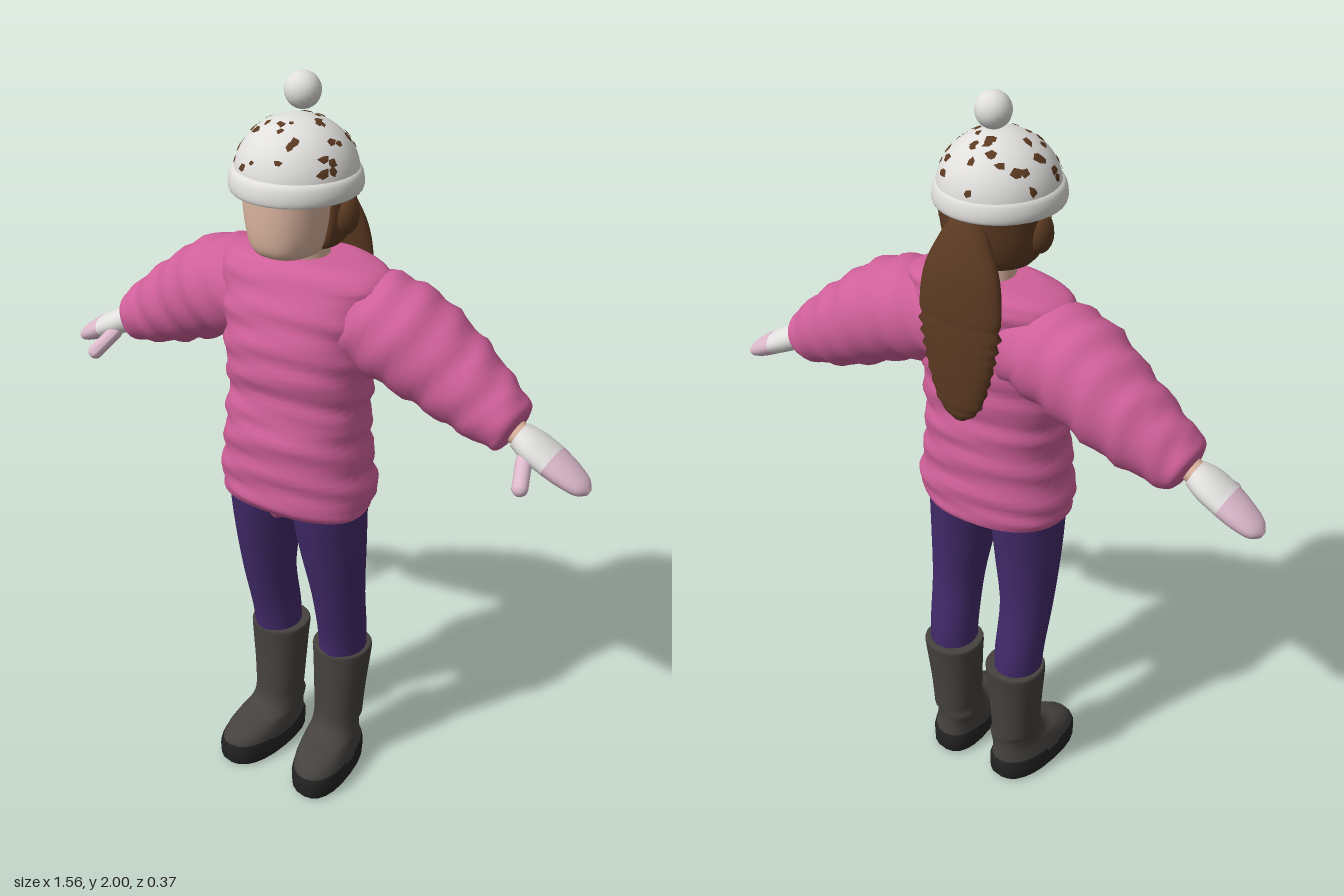
import * as THREE from 'three';

const mat = (name, color, side = THREE.FrontSide) => {
  const m = new THREE.MeshStandardMaterial({ color, side });
  m.name = name;
  return m;
};
const X = [1, 0, 0], Z = [0, 0, 1], BACK = [0, 0, -1], ARM_DOWN = [-0.4, -0.9, 0];

// Smooth interpolation through rows of numbers
function resample(rows, steps) {
  if (steps <= rows.length) return rows;
  const out = [];
  for (let i = 0; i < steps; i++) {
    const f = (i / (steps - 1)) * (rows.length - 1);
    const k = Math.min(Math.floor(f), rows.length - 2), t = f - k;
    const at = (n) => rows[Math.max(0, Math.min(rows.length - 1, n))];
    out.push(rows[k].map((_, c) => {
      const p = at(k - 1)[c], a = at(k)[c], b = at(k + 1)[c], q = at(k + 2)[c];
      return a + 0.5 * t * (b - p + t * (2 * p - 5 * a + 4 * b - q + t * (3 * (a - b) + q - p)));
    }));
  }
  return out;
}

// Closed loft through oval rings [x, y, z, radiusU, radiusV], ordered along U x V
function loft(rows, { steps = 0, segs = 24, u = X, v = BACK, power = 1, ripple = () => 1 } = {}) {
  const rings = resample(rows, steps), pos = [], idx = [];
  const addRing = (r) => {
    for (let j = 0; j < segs; j++) {
      const a = (j / segs) * Math.PI * 2, s = ripple(r, a);
      const c = Math.sign(Math.cos(a)) * Math.abs(Math.cos(a)) ** power * r[3] * s;
      const d = Math.sign(Math.sin(a)) * Math.abs(Math.sin(a)) ** power * r[4] * s;
      for (let k = 0; k < 3; k++) pos.push(r[k] + u[k] * c + v[k] * d);
    }
  };
  rings.forEach(addRing);
  for (let i = 0; i < rings.length - 1; i++) {
    for (let j = 0; j < segs; j++) {
      const n = (j + 1) % segs, a = i * segs + j, b = i * segs + n;
      idx.push(a, b, b + segs, a, b + segs, a + segs);
    }
  }
  [rings[0], rings[rings.length - 1]].forEach((r, end) => {
    const base = pos.length / 3;
    addRing(r);
    pos.push(r[0], r[1], r[2]);
    for (let j = 0; j < segs; j++) {
      const a = base + j, b = base + ((j + 1) % segs);
      idx.push(base + segs, end ? a : b, end ? b : a);
    }
  });
  const g = new THREE.BufferGeometry();
  g.setAttribute('position', new THREE.Float32BufferAttribute(pos, 3));
  g.setIndex(idx);
  g.computeVertexNormals();
  return g;
}

function mirrored(geo) {
  const g = geo.clone().scale(-1, 1, 1), ix = g.index.array;
  for (let i = 0; i < ix.length; i += 3) [ix[i], ix[i + 1]] = [ix[i + 1], ix[i]];
  g.computeVertexNormals();
  return g;
}

export function createModel() {
  const pink = mat('sweater pink', 0xd0609a), purple = mat('leggings purple', 0x422a6a);
  const bootGrey = mat('boot grey', 0x45423f), black = mat('sole black', 0x232323);
  const skin = mat('skin', 0xdcb5a0), brown = mat('hair brown', 0x5c3a22, THREE.DoubleSide);
  const white = mat('knit white', 0xe0dfdd), palePink = mat('mitten pink', 0xdcb9cb);

  const model = new THREE.Group();
  model.name = 'winterGirl';
  const add = (name, geo, material) => {
    const m = new THREE.Mesh(geo, material);
    m.name = name;
    model.add(m);
    return m;
  };
  const pair = (name, geo, material) => {
    add(name + 'Left', geo, material);
    add(name + 'Right', mirrored(geo), material);
  };

  // Sweater body with soft horizontal folds
  add('sweaterBody', loft([
    [0, 0.895, 0.005, 0.205, 0.145], [0, 0.93, 0.005, 0.215, 0.155], [0, 1.02, 0.007, 0.202, 0.155],
    [0, 1.12, 0.007, 0.19, 0.155], [0, 1.2, 0.0, 0.19, 0.143], [0, 1.29, 0.002, 0.195, 0.148],
    [0, 1.38, -0.003, 0.2, 0.143], [0, 1.46, -0.015, 0.22, 0.132], [0, 1.53, -0.03, 0.225, 0.115],
    [0, 1.555, -0.035, 0.16, 0.095], [0, 1.56, -0.03, 0.09, 0.07],
  ], {
    steps: 64, segs: 40, power: 0.88,
    ripple: (r, a) => r[1] > 1.52 ? 1 : 1 + 0.024 * Math.sin(r[1] * 72 + 1.6 * Math.sin(2 * a + 1) + Math.sin(a))
      + 0.012 * Math.sin(r[1] * 130 + 3 * a),
  }), pink);
  add('sweaterHemFold', loft([
    [0, 0.865, 0.02, 0.03, 0.1], [0, 0.9, 0.01, 0.07, 0.13],
  ]), pink);

  // Puffy sleeves, slanting down to gathered cuffs
  pair('sleeve', loft([
    [0.06, 1.43, -0.035, 0.1, 0.115], [0.17, 1.422, -0.045, 0.125, 0.133], [0.28, 1.39, -0.05, 0.13, 0.133],
    [0.38, 1.335, -0.06, 0.116, 0.12], [0.46, 1.29, -0.06, 0.102, 0.105], [0.53, 1.252, -0.057, 0.085, 0.085],
    [0.57, 1.232, -0.055, 0.077, 0.07], [0.582, 1.226, -0.055, 0.05, 0.045],
  ], {
    steps: 40, segs: 28, u: Z, v: ARM_DOWN,
    ripple: (r, a) => 1 + 0.035 * Math.sin(r[0] * 75 + 1.5 * Math.sin(2 * a)) + 0.015 * Math.sin(r[0] * 140 + 3 * a),
  }), pink);

  // Wrists and mittens
  const arm = { u: Z, v: ARM_DOWN, segs: 20 };
  pair('wrist', loft([[0.55, 1.24, -0.05, 0.034, 0.03], [0.612, 1.21, -0.05, 0.034, 0.028]], arm), skin);
  pair('mittenPalm', loft([
    [0.592, 1.218, -0.05, 0.038, 0.034], [0.63, 1.2, -0.05, 0.054, 0.036], [0.68, 1.174, -0.052, 0.057, 0.033],
  ], { ...arm, steps: 10 }), white);
  pair('mittenFingers', loft([
    [0.68, 1.174, -0.052, 0.057, 0.033], [0.72, 1.151, -0.054, 0.051, 0.029],
    [0.76, 1.128, -0.055, 0.037, 0.02], [0.778, 1.118, -0.055, 0.01, 0.007],
  ], { ...arm, steps: 12 }), palePink);
  const thumb = new THREE.CapsuleGeometry(0.02, 0.075, 6, 14);
  thumb.applyQuaternion(new THREE.Quaternion().setFromUnitVectors(
    new THREE.Vector3(0, 1, 0), new THREE.Vector3(0.3, -0.55, 0.8).normalize()));
  pair('mittenThumb', thumb.translate(0.637, 1.158, 0.018), palePink);

  // Legs and hips
  pair('leg', loft([
    [0.108, 0.36, -0.052, 0.064, 0.07], [0.11, 0.45, -0.047, 0.066, 0.073], [0.113, 0.6, -0.018, 0.071, 0.079],
    [0.105, 0.75, -0.002, 0.086, 0.097], [0.098, 0.88, 0.006, 0.094, 0.114], [0.095, 0.96, 0.006, 0.092, 0.115],
  ], { steps: 24 }), purple);

  // Boots, toes turned slightly outward
  const bootUpper = loft([
    [0.11, 0.06, 0.025, 0.078, 0.148], [0.108, 0.085, 0.02, 0.074, 0.14], [0.106, 0.108, 0.0, 0.069, 0.117],
    [0.104, 0.125, -0.028, 0.066, 0.088], [0.102, 0.16, -0.045, 0.065, 0.074], [0.102, 0.25, -0.051, 0.071, 0.072],
    [0.104, 0.35, -0.056, 0.079, 0.076], [0.104, 0.392, -0.058, 0.082, 0.079], [0.104, 0.4, -0.058, 0.078, 0.075],
  ], { steps: 36, power: 0.9 });
  const sole = loft([
    [0.11, 0, 0.025, 0.072, 0.143], [0.11, 0.012, 0.025, 0.079, 0.151],
    [0.11, 0.05, 0.025, 0.08, 0.153], [0.11, 0.068, 0.025, 0.076, 0.147],
  ], { power: 0.85 });
  for (const g of [bootUpper, sole]) {
    const p = g.attributes.position;
    for (let i = 0; i < p.count; i++) {
      const z = p.getZ(i);
      if (p.getY(i) < 0.15) p.setX(i, p.getX(i) + 0.1 * z);
    }
    g.computeVertexNormals();
  }
  pair('boot', bootUpper, bootGrey);
  pair('bootSole', sole, black);

  // Neck and head
  add('neck', loft([[0, 1.5, -0.03, 0.065, 0.062], [0, 1.63, -0.015, 0.06, 0.06]]), skin);
  add('face', loft([
    [0, 1.582, 0.05, 0.05, 0.06], [0, 1.592, 0.04, 0.078, 0.092], [0, 1.62, 0.03, 0.094, 0.116],
    [0, 1.68, 0.025, 0.108, 0.127], [0, 1.76, 0.025, 0.115, 0.128],
  ], { steps: 18, power: 0.88 }), skin);

  // Hair cut flat in front of the ears
  const hair = loft([
    [0, 1.6, -0.01, 0.1, 0.09], [0, 1.625, -0.01, 0.119, 0.105], [0, 1.68, -0.01, 0.132, 0.117],
    [0, 1.77, -0.01, 0.138, 0.122],
  ], { steps: 14, segs: 32 });
  const hp = hair.attributes.position;
  for (let i = 0; i < hp.count; i++) hp.setZ(i, Math.min(hp.getZ(i), 0.038));
  hair.computeVertexNormals();
  add('hair', hair, brown);
  pair('hairOverEar', new THREE.SphereGeometry(1, 14, 10).scale(0.03, 0.05, 0.035).translate(0.128, 1.685, -0.005), brown);

  // Ponytail with ragged lower edges
  add('ponytail', loft([
    [0, 1.215, -0.16, 0.018, 0.01], [0, 1.26, -0.16, 0.062, 0.022], [0, 1.38, -0.158, 0.098, 0.03],
    [0, 1.5, -0.153, 0.115, 0.034], [0, 1.6, -0.143, 0.105, 0.038], [0, 1.68, -0.13, 0.07, 0.034],
    [0, 1.74, -0.115, 0.035, 0.025],
  ], { steps: 48, ripple: (r) => (r[1] < 1.48 ? 1 + 0.06 * Math.sin(r[1] * 190) : 1) }), brown);

  // Knitted hat
  add('hatBrim', loft([
    [0, 1.732, 0.015, 0.145, 0.148], [0, 1.735, 0.015, 0.157, 0.161], [0, 1.755, 0.015, 0.16, 0.163],
    [0, 1.778, 0.015, 0.154, 0.157], [0, 1.788, 0.015, 0.142, 0.145],
  ], { steps: 14, segs: 36 }), white);
  const onDome = (th, ph, s = 1) => [
    0.149 * s * Math.cos(ph) * Math.cos(th), 1.765 + 0.14 * s * Math.sin(ph), 0.012 + 0.152 * s * Math.cos(ph) * Math.sin(th)];
  add('hatDome', new THREE.SphereGeometry(1, 36, 14, 0, Math.PI * 2, 0, Math.PI / 2)
    .scale(0.149, 0.14, 0.152).translate(0, 1.765, 0.012), white);
  add('pompom', new THREE.SphereGeometry(0.044, 20, 14).translate(0, 1.956, -0.012), white);

  // Irregular brown flecks on the hat
  let seed = 11;
  const rnd = () => (seed = (seed * 16807) % 2147483647) / 2147483647;
  const flecks = [];
  for (let i = 0; i < 46; i++) {
    const th = i * 2.4 + rnd() * 0.5, ph = 0.25 + 1.0 * rnd(), size = 0.05 + 0.06 * rnd(), turn = rnd() * 6;
    const corners = [0, 1, 2, 3, 4].map((k) => {
      const a = turn + k * 1.2566, r = size * (0.5 + 0.8 * rnd());
      return onDome(th + (r * Math.cos(a)) / Math.cos(ph), ph + r * Math.sin(a), 1.015);
    });
    const mid = onDome(th, ph, 1.018);
    corners.forEach((c, k) => flecks.push(...mid, ...corners[(k + 1) % 5], ...c));
  }
  const fleckGeo = new THREE.BufferGeometry();
  fleckGeo.setAttribute('position', new THREE.Float32BufferAttribute(flecks, 3));
  fleckGeo.computeVertexNormals();
  add('hatFlecks', fleckGeo, brown);

  return model;
}
